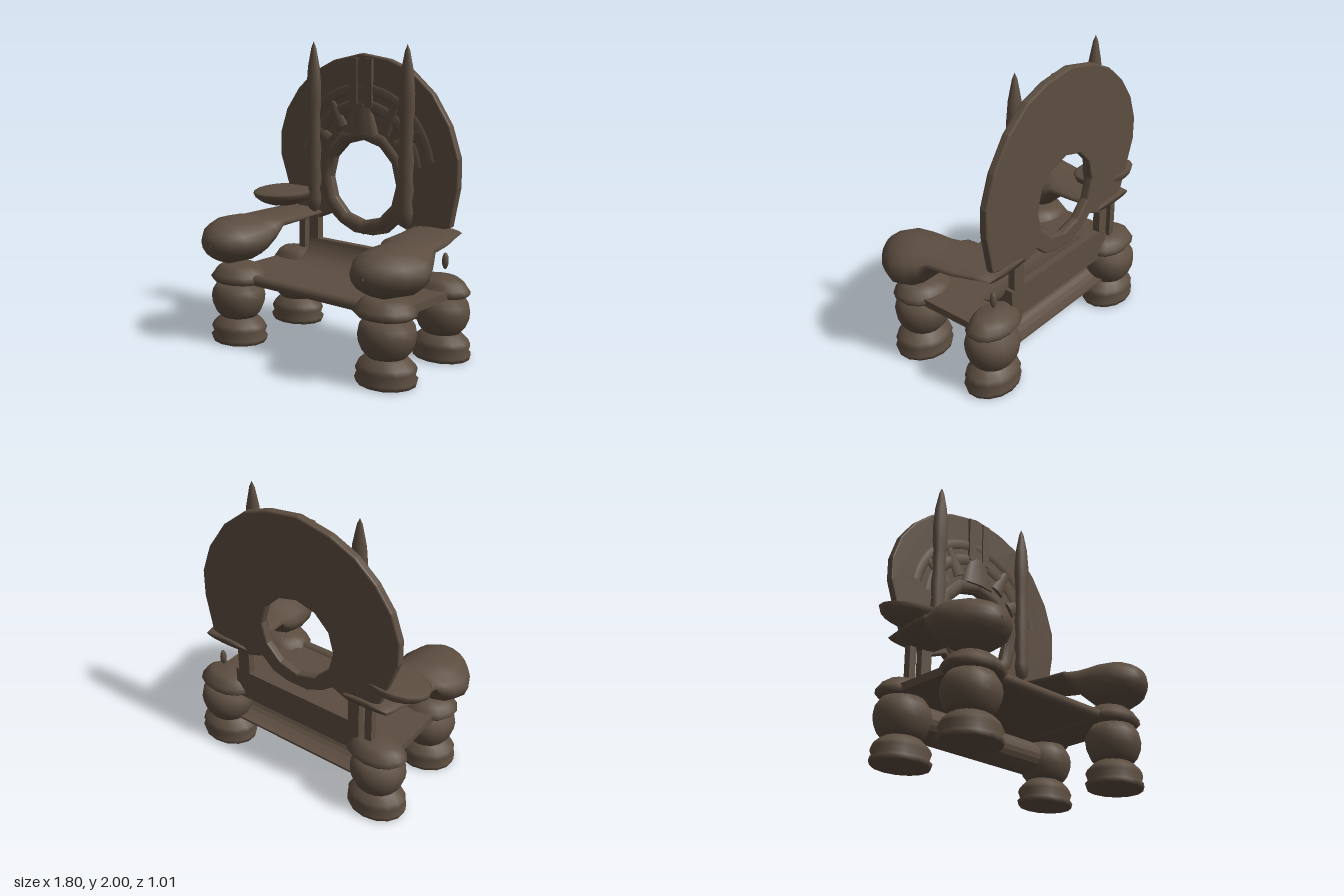
import * as THREE from 'three';

const wood = new THREE.MeshStandardMaterial({ color: 0x5c4d40, side: THREE.DoubleSide });
wood.name = 'dark wood';

const V2 = (list) => list.map(([x, y]) => new THREE.Vector2(x, y));

export function createModel() {
  const model = new THREE.Group();
  model.name = 'throne';

  const add = (name, geometry, x = 0, y = 0, z = 0) => {
    const mesh = new THREE.Mesh(geometry, wood);
    mesh.name = name;
    mesh.position.set(x, y, z);
    model.add(mesh);
    return mesh;
  };

  // Closed skin through elliptical sections [z, centreX, centreY, halfWidth, halfHeight]
  const loft = (sections, sides = 14) => {
    const pos = [], index = [];
    for (const [z, cx, cy, rx, ry] of sections)
      for (let i = 0; i < sides; i++) {
        const a = (i / sides) * Math.PI * 2;
        pos.push(cx + Math.cos(a) * rx, cy + Math.sin(a) * ry, z);
      }
    for (let s = 0; s < sections.length - 1; s++)
      for (let i = 0; i < sides; i++) {
        const a = s * sides + i, b = s * sides + ((i + 1) % sides);
        index.push(a, a + sides, b, b, a + sides, b + sides);
      }
    const g = new THREE.BufferGeometry();
    g.setAttribute('position', new THREE.Float32BufferAttribute(pos, 3));
    g.setIndex(index);
    g.computeVertexNormals();
    return g;
  };

  // Side profile of (-z, y) points swept across the full width
  const sweepAcross = (shape, width) => {
    const g = new THREE.ExtrudeGeometry(shape, { depth: width, bevelEnabled: false, curveSegments: 10 });
    g.rotateY(Math.PI / 2);
    g.translate(-width / 2, 0, 0);
    return g;
  };

  // Turned legs: foot, ball and flanged cap, each with its own depth
  const footProfile = V2([[0, 0.005], [0.195, 0.01], [0.205, 0.04], [0.185, 0.06], [0.2, 0.1], [0.185, 0.13],
    [0.14, 0.17], [0.1, 0.19], [0, 0.19]]);
  const ballProfile = V2([[0, 0.175], [0.125, 0.18], [0.155, 0.215], [0.178, 0.27], [0.184, 0.32], [0.175, 0.365],
    [0.14, 0.42], [0, 0.43]]);
  const capProfile = V2([[0, 0.42], [0.185, 0.425], [0.21, 0.45], [0.19, 0.475], [0.165, 0.51], [0.12, 0.54], [0, 0.55]]);
  for (const side of [-1, 1])
    for (const [name, z, foot, ball, cap] of [['front', 0.255, 0.86, 0.96, 0.84], ['back', -0.34, 0.79, 0.92, 0.69]]) {
      add(name + 'Foot', new THREE.LatheGeometry(footProfile, 14), side * 0.622, 0, z).scale.z = foot;
      add(name + 'LegBall', new THREE.LatheGeometry(ballProfile, 16), side * 0.625, 0, z).scale.z = ball;
      add(name + 'LegCap', new THREE.LatheGeometry(capProfile, 14), side * 0.61, 0, z).scale.z = cap;
    }

  // Seat that curls up at the back
  const seatShape = new THREE.Shape();
  seatShape.moveTo(-0.29, 0.43);
  seatShape.lineTo(-0.29, 0.465);
  seatShape.quadraticCurveTo(-0.1, 0.48, 0.12, 0.475);
  seatShape.quadraticCurveTo(0.3, 0.49, 0.335, 0.63);
  seatShape.lineTo(0.385, 0.63);
  seatShape.lineTo(0.385, 0.43);
  seatShape.closePath();
  add('seat', sweepAcross(seatShape, 0.98));

  // Rounded front rail, flat side rails
  const rail = new THREE.CylinderGeometry(0.036, 0.036, 1.2, 10);
  rail.rotateZ(Math.PI / 2);
  add('frontRail', rail, 0, 0.455, 0.28);
  for (const side of [-1, 1])
    add('sideRail', new THREE.BoxGeometry(0.3, 0.05, 0.6), side * 0.58, 0.452, -0.04);

  // Channel-shaped apron between the back legs, hollow side to the rear
  const apronShape = new THREE.Shape();
  apronShape.moveTo(0.385, 0.435);
  apronShape.bezierCurveTo(0.2, 0.43, 0.19, 0.21, 0.385, 0.205);
  apronShape.lineTo(0.385, 0.22);
  apronShape.bezierCurveTo(0.21, 0.225, 0.22, 0.41, 0.385, 0.415);
  apronShape.closePath();
  add('backApron', sweepAcross(apronShape, 1.1));

  // Armrests: bulbous hand end tapering to a thin flat arm
  const armSections = [[0.5, 0.63, 0.7, 0.005, 0.005], [0.495, 0.63, 0.7, 0.07, 0.06], [0.45, 0.63, 0.7, 0.14, 0.1],
    [0.37, 0.64, 0.7, 0.205, 0.14], [0.25, 0.655, 0.705, 0.245, 0.152], [0.16, 0.645, 0.715, 0.232, 0.14],
    [0.08, 0.625, 0.75, 0.21, 0.098], [0.02, 0.605, 0.8, 0.2, 0.042], [-0.15, 0.59, 0.808, 0.195, 0.036],
    [-0.3, 0.565, 0.82, 0.18, 0.03], [-0.4, 0.55, 0.825, 0.17, 0.025], [-0.4, 0.55, 0.825, 0.001, 0.001]];
  for (const side of [-1, 1])
    add('armrest', loft(armSections.map(([z, x, y, w, h]) => [z, x * side, y, w, h])));

  // Shallow shell on the right arm only
  const shell = new THREE.SphereGeometry(1, 16, 10);
  const p = shell.attributes.position;
  for (let i = 0; i < p.count; i++) {
    const y = p.getY(i);
    p.setXYZ(i, p.getX(i) * 0.24, y * (y > 0 ? 0.02 : 0.1), p.getZ(i) * 0.175);
  }
  shell.computeVertexNormals();
  add('armShell', shell, -0.66, 0.96, -0.235).rotation.set(0.13, 0, 0.05);

  // Round backrest with an opening
  const outline = [[-0.64, 0.87], [-0.69, 1.0], [-0.76, 1.2], [-0.76, 1.35], [-0.7, 1.52], [-0.59, 1.67], [-0.45, 1.79],
    [-0.28, 1.87], [-0.05, 1.92], [0.17, 1.89], [0.34, 1.83], [0.51, 1.69], [0.64, 1.5], [0.71, 1.3], [0.71, 1.12],
    [0.66, 0.87], [0.5, 0.82], [0.36, 0.8], [0.25, 0.84], [0.16, 0.76], [0.05, 0.73], [-0.1, 0.73], [-0.22, 0.78],
    [-0.3, 0.84], [-0.42, 0.79]];
  const backShape = new THREE.Shape(V2(outline));
  const opening = Array.from({ length: 12 }, (_, i) => {
    const a = (i / 12) * Math.PI * 2;
    return [-0.03 + Math.cos(a) * 0.285, 1.085 + Math.sin(a) * 0.285];
  });
  backShape.holes.push(new THREE.Path(V2(opening)));
  add('backrest', new THREE.ExtrudeGeometry(backShape, {
    depth: 0.03, bevelThickness: 0.012, bevelSize: 0.01, bevelSegments: 2,
  }), 0, 0, -0.378);
  add('openingRim', new THREE.TorusGeometry(0.322, 0.048, 8, 12), -0.03, 1.085, -0.35).scale.z = 0.75;

  // Low carved arches and broad radial ribs on the front of the backrest
  for (const [r, t, start] of [[0.44, 0.05, 0.15], [0.55, 0.045, 0.2]]) {
    const arch = new THREE.TorusGeometry(r, t, 6, 20, Math.PI - start * 2);
    arch.rotateZ(start);
    add('carvedArch', arch, -0.03, 1.15, -0.343).scale.z = 0.4;
  }
  for (const angle of [0.2, 0.34, 0.66, 0.8]) {
    const a = Math.PI * angle;
    const rib = add('carvedRib', new THREE.CylinderGeometry(0.03, 0.06, 0.2, 8),
      -0.03 + Math.cos(a) * 0.46, 1.13 + Math.sin(a) * 0.44, -0.34);
    rib.scale.z = 0.5;
    rib.rotation.z = a - Math.PI / 2;
  }

  // Central crest: two upright bars above a fan
  for (const x of [-0.1, 0.025])
    add('crestBar', new THREE.BoxGeometry(0.06, 0.32, 0.04), x, 1.74, -0.338);
  add('crestPanel', new THREE.BoxGeometry(0.1, 0.3, 0.02), -0.04, 1.74, -0.338);
  add('crestFan', new THREE.CylinderGeometry(0.08, 0.15, 0.2, 8), -0.04, 1.5, -0.338).scale.z = 0.3;

  // Tall spikes with a lumpy shaft
  const spikeProfile = V2([[0, 0.82], [0.045, 0.86], [0.056, 0.93], [0.045, 1.0], [0.058, 1.07], [0.048, 1.16],
    [0.056, 1.27], [0.045, 1.36], [0.05, 1.45], [0.046, 1.51], [0.055, 1.58], [0.056, 1.7], [0.045, 1.83],
    [0.018, 1.96], [0, 2.0]]);
  for (const x of [-0.42, 0.355])
    add('spike', new THREE.LatheGeometry(spikeProfile, 10), x, 0, -0.295).scale.z = 0.8;

  // Posts holding the backrest, and a small peg over one leg
  for (const [x, w] of [[-0.46, 0.08], [-0.57, 0.05], [0.42, 0.09]])
    add('backPost', new THREE.BoxGeometry(w, 0.34, 0.05), x, 0.67, -0.36);
  add('peg', new THREE.SphereGeometry(0.055, 8, 6), 0.63, 0.64, -0.355).scale.set(0.4, 1, 0.4);

  return model;
}
